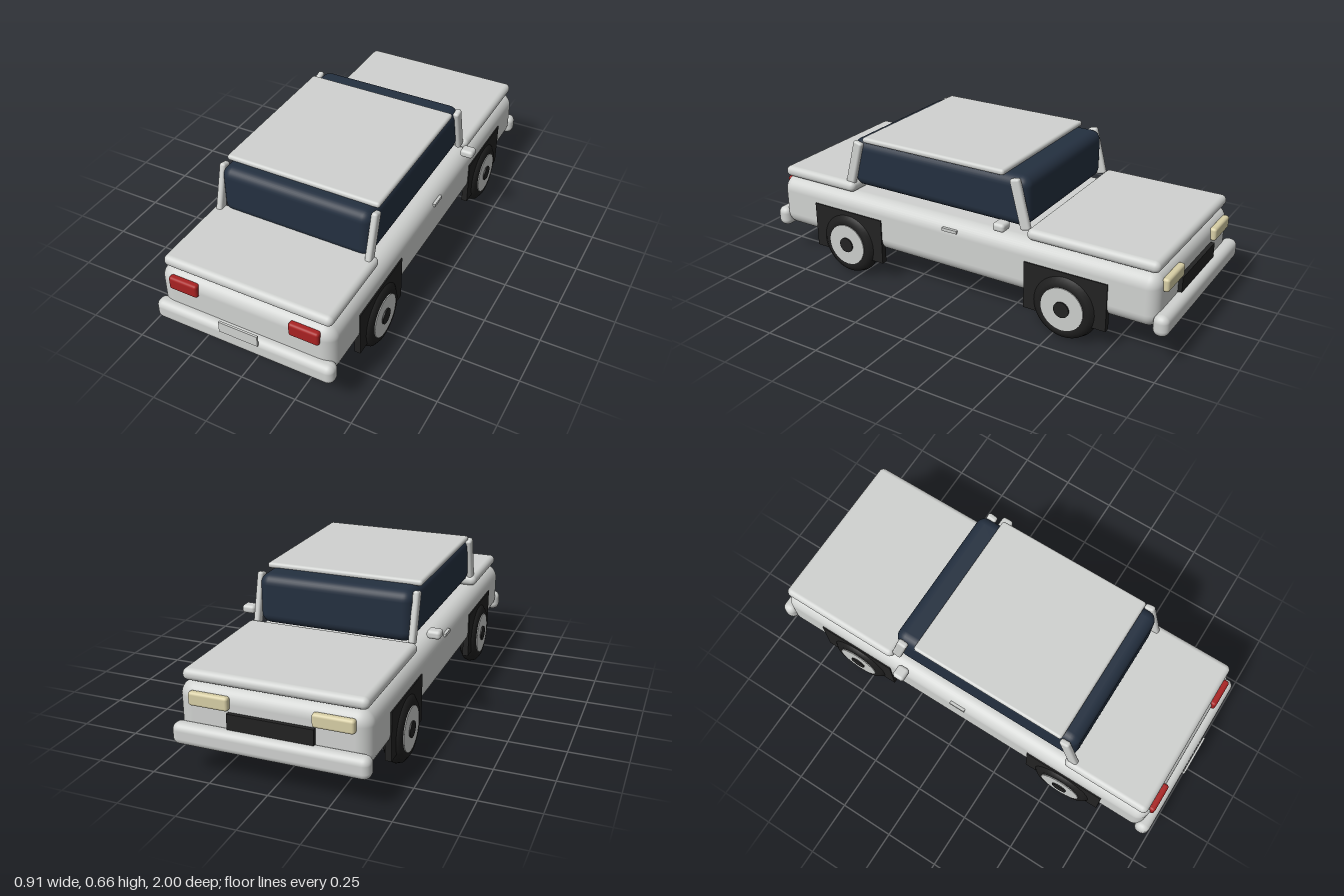
import * as THREE from 'three';
import { RoundedBoxGeometry } from 'three/addons/geometries/RoundedBoxGeometry.js';

function mat(name, color) {
  const m = new THREE.MeshStandardMaterial({ color });
  m.name = name;
  return m;
}

export function createModel() {
  const paint = mat('body paint', 0xd0d2d0);
  const metal = mat('bright metal', 0xcbcdcb);
  const glass = mat('dark glass', 0x243040);
  const rubber = mat('tyre rubber', 0x1e1e1e);
  const black = mat('black trim', 0x222222);
  const red = mat('red lamp', 0xa82222);
  const cream = mat('cream lamp', 0xd8cfa6);

  const car = new THREE.Group();
  car.name = 'car';

  function add(name, geometry, material, x = 0, y = 0, z = 0, parent = car) {
    const mesh = new THREE.Mesh(geometry, material);
    mesh.name = name;
    mesh.position.set(x, y, z);
    parent.add(mesh);
    return mesh;
  }
  // Box given by its limits, with rounded edges when r > 0
  function box(name, material, [x0, x1], [y0, y1], [z0, z1], r = 0) {
    const size = [x1 - x0, y1 - y0, z1 - z0];
    const g = r ? new RoundedBoxGeometry(...size, 4, r) : new THREE.BoxGeometry(...size);
    return add(name, g, material, (x0 + x1) / 2, (y0 + y1) / 2, (z0 + z1) / 2);
  }

  // Lower body, wide roundings along the sides and tighter ones at the ends
  const lower = new RoundedBoxGeometry(0.8, 0.242, 1.1, 5, 0.065);
  const p = lower.attributes.position;
  for (let i = 0; i < p.count; i++) {
    const z = p.getZ(i), s = Math.sign(z);
    const inner = Math.max(Math.abs(z) - 0.485, 0);
    p.setZ(i, s * (Math.min(Math.abs(z), 0.485) * (0.9 / 0.485) + inner * (0.048 / 0.065)));
  }
  add('body', lower, paint, 0, 0.274, 0);

  // Deck lids, glasshouse and roof
  box('frontDeck', paint, [-0.383, 0.383], [0.394, 0.444], [0.53, 0.935], 0.024);
  box('rearDeck', paint, [-0.383, 0.383], [0.394, 0.444], [-0.94, -0.36], 0.024);
  box('glasshouse', glass, [-0.346, 0.346], [0.42, 0.643], [-0.347, 0.557], 0.045);
  box('roof', paint, [-0.353, 0.353], [0.637, 0.663], [-0.237, 0.488], 0.012);

  // Bumpers, number plate and grille
  box('frontBumper', paint, [-0.41, 0.41], [0.142, 0.234], [0.92, 0.987], 0.03);
  box('rearBumper', paint, [-0.41, 0.41], [0.142, 0.234], [-1, -0.933], 0.03);
  box('numberPlate', paint, [-0.09, 0.088], [0.22, 0.271], [0.987, 0.996]);
  box('grille', black, [-0.18, 0.18], [0.225, 0.3], [-0.966, -0.94]);

  // Tyre and hub shapes, turned so the axle lies along x
  const tyre = new THREE.TorusGeometry(0.105, 0.041, 10, 40).rotateY(Math.PI / 2);
  const hub = new THREE.CylinderGeometry(0.096, 0.096, 0.086, 32).rotateZ(Math.PI / 2);
  const cap = new THREE.CylinderGeometry(0.035, 0.035, 0.098, 20).rotateZ(Math.PI / 2);

  for (const s of [-1, 1]) {
    const side = s > 0 ? 'left' : 'right';
    const span = (a, b) => (s > 0 ? [a, b] : [-b, -a]);

    // Sloping roof pillars
    for (const [end, zLow, zHigh] of [['Front', 0.565, 0.505], ['Rear', -0.347, -0.291]]) {
      const dy = 0.215, dz = zHigh - zLow;
      const pillar = add(side + end + 'Pillar',
        new RoundedBoxGeometry(0.028, Math.hypot(dy, dz), 0.046, 3, 0.011),
        paint, s * 0.351, 0.532, (zLow + zHigh) / 2);
      pillar.rotation.x = Math.atan2(dz, dy);
    }

    // Lamps, mirror and door handle
    box(side + 'RedLamp', red, span(0.208, 0.342), [0.311, 0.373], [0.93, 0.963], 0.012);
    box(side + 'CreamLamp', cream, span(0.172, 0.342), [0.308, 0.366], [-0.97, -0.938], 0.012);
    box(side + 'Mirror', paint, span(0.394, 0.455), [0.437, 0.474], [-0.3, -0.245], 0.014);
    box(side + 'DoorHandle', metal, span(0.388, 0.405), [0.347, 0.361], [-0.038, 0.036]);

    // Wheel wells and wheels
    for (const [end, z] of [['Front', 0.553], ['Rear', -0.555]]) {
      box(side + end + 'WheelWell', black, span(0.378, 0.405), [0.097, 0.309], [z - 0.188, z + 0.188]);
      const wheel = new THREE.Group();
      wheel.name = side + end + 'Wheel';
      wheel.position.set(s * 0.381, 0.151, z);
      add('tyre', tyre, rubber, 0, 0, 0, wheel);
      add('hub', hub, metal, 0, 0, 0, wheel);
      add('hubCap', cap, black, 0, 0, 0, wheel);
      car.add(wheel);
    }
  }
  return car;
}
